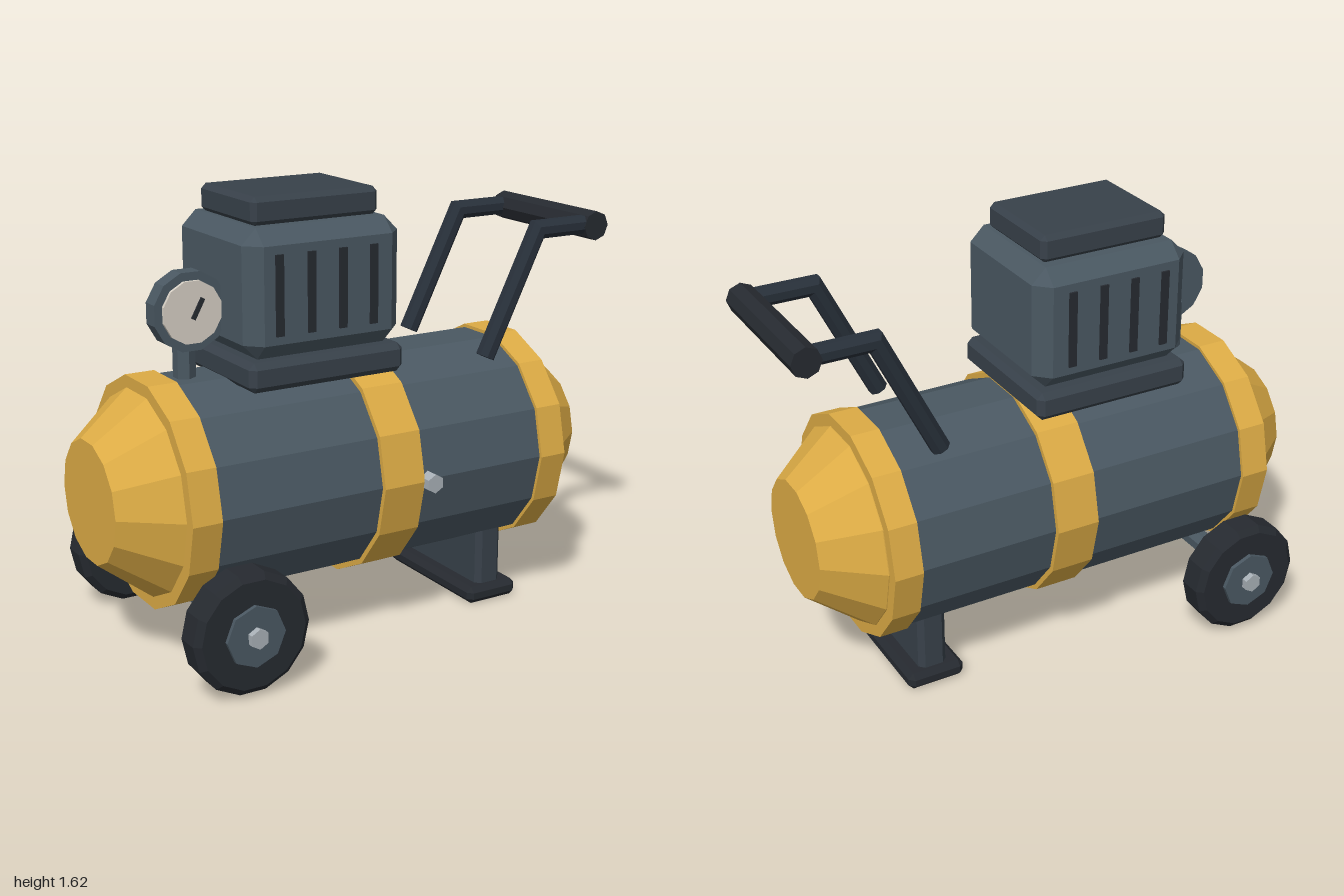
import * as THREE from 'three';
import { ConvexGeometry } from 'three/addons/geometries/ConvexGeometry.js';

const mat = (color) => new THREE.MeshStandardMaterial({ color, flatShading: true });

export function createModel() {
  const root = new THREE.Group();
  const slate = mat(0x4a5862), darkSlate = mat(0x38414a), black = mat(0x262a30);
  const handleMat = mat(0x28303a), gold = mat(0xdcab45), steel = mat(0xa8b0b6), cream = mat(0xd6cfc4);

  function add(name, geometry, material, x = 0, y = 0, z = 0, parent = root) {
    const mesh = new THREE.Mesh(geometry, material);
    mesh.name = name;
    mesh.position.set(x, y, z);
    parent.add(mesh);
    return mesh;
  }

  // Box with every edge chamfered by c
  function chamferBox(w, h, d, c) {
    const pts = [];
    for (const sx of [-1, 1]) for (const sy of [-1, 1]) for (const sz of [-1, 1]) {
      for (let k = 0; k < 3; k++) {
        const inset = [c, c, c];
        inset[k] = 0;
        pts.push(new THREE.Vector3(sx * (w / 2 - inset[0]), sy * (h / 2 - inset[1]), sz * (d / 2 - inset[2])));
      }
    }
    return new ConvexGeometry(pts);
  }

  // Turned solid: pairs of [radius, position along the axis]
  const lathe = (pairs, sides) =>
    new THREE.LatheGeometry(pairs.map(([r, t]) => new THREE.Vector2(r, t)), sides);
  // Cylinder lying along z
  const discZ = (r, depth, sides, turn = 0) =>
    new THREE.CylinderGeometry(r, r, depth, sides).rotateY(turn).rotateX(Math.PI / 2);

  // Tank with domed ends and bands, axis along x
  const tank = new THREE.Group();
  tank.name = 'tank';
  tank.position.y = 0.595;
  root.add(tank);
  const alongX = (pairs) => lathe(pairs, 14).rotateZ(-Math.PI / 2);
  add('tankBody', alongX([[0, -0.76], [0.402, -0.76], [0.402, 0.68], [0, 0.68]]), slate, 0, 0, 0, tank);
  add('leftEndCap', alongX([[0, 0.68], [0.37, 0.68], [0.37, 0.735], [0.222, 0.925], [0, 0.925]]), gold, 0, 0, 0, tank);
  add('rightEndCap', alongX([[0, -1], [0.222, -1], [0.37, -0.81], [0.37, -0.75], [0, -0.75]]), gold, 0, 0, 0, tank);
  for (const [name, a, b, r] of [
    ['rightBand', -0.81, -0.7, 0.415], ['middleBand', -0.065, 0.1, 0.421], ['leftBand', 0.625, 0.732, 0.415],
  ]) add(name, alongX([[0, a], [r, a], [r, b], [0, b]]), gold, 0, 0, 0, tank);
  add('drainValve', discZ(0.035, 0.07, 6), steel, 0.128, 0.59, 0.412);

  // Motor housing
  add('motorBase', chamferBox(0.615, 0.105, 0.565, 0.022), darkSlate, -0.207, 1.022, 0);
  add('motorHousing', chamferBox(0.615, 0.45, 0.555, 0.055), slate, -0.207, 1.3, 0);
  add('motorLid', chamferBox(0.5, 0.1, 0.394, 0.018), darkSlate, -0.207, 1.572, 0);
  for (const side of [-1, 1]) for (let i = 0; i < 4; i++) {
    add('coolingSlot', new THREE.BoxGeometry(0.03, 0.28, 0.02), black, -0.402 + i * 0.124, 1.3, side * 0.275);
  }

  // Pressure gauge
  const gauge = new THREE.Group();
  gauge.name = 'pressureGauge';
  gauge.position.set(-0.627, 1.23, 0);
  root.add(gauge);
  add('gaugeStem', new THREE.CylinderGeometry(0.04, 0.04, 0.25, 6), slate, 0, -0.19, 0, gauge);
  add('gaugeCase', discZ(0.142, 0.066, 12, Math.PI / 12), slate, 0, 0, 0.033, gauge);
  add('gaugeFace', discZ(0.112, 0.03, 12, Math.PI / 12), cream, 0, 0, 0.064, gauge);
  add('gaugeNeedle', new THREE.BoxGeometry(0.016, 0.08, 0.01), black, 0.018, 0.012, 0.081, gauge)
    .rotation.z = -0.5;

  // Axle and wheels
  add('axle', discZ(0.042, 0.9, 8, Math.PI / 8), slate, -0.655, 0.228, 0);
  for (const side of [-1, 1]) {
    const wheel = new THREE.Group();
    wheel.name = side > 0 ? 'frontWheel' : 'backWheel';
    wheel.position.set(-0.655, 0.228, side * 0.478);
    root.add(wheel);
    const tyre = lathe([[0, -0.062], [0.195, -0.062], [0.219, -0.042], [0.219, 0.042], [0.195, 0.062], [0, 0.062]], 14);
    add('tyre', tyre.rotateY(Math.PI / 14).rotateX(Math.PI / 2), black, 0, 0, 0, wheel);
    add('hub', discZ(0.11, 0.154, 8), slate, 0, 0, 0, wheel);
    add('wheelNut', discZ(0.036, 0.04, 6), steel, 0, 0, side * 0.08, wheel);
  }

  // Support leg and foot
  add('supportLeg', chamferBox(0.11, 0.3, 0.5, 0.02), darkSlate, 0.52, 0.19, 0);
  add('foot', chamferBox(0.22, 0.066, 0.56, 0.02), black, 0.52, 0.033, 0);

  // Handle: mitred bars bent at the elbow, joined by a grip
  const path = [[0.472, 0.965], [0.695, 1.417], [0.945, 1.417]].map(([x, y]) => new THREE.Vector2(x, y));
  const d0 = path[1].clone().sub(path[0]).normalize();
  const d1 = path[2].clone().sub(path[1]).normalize();
  const across = [d0, d0.clone().add(d1).normalize(), d1].map((d) => new THREE.Vector2(d.y, -d.x));
  across[1].divideScalar(across[1].dot(across[0]));
  function handleBar() {
    const g = new THREE.CylinderGeometry(0.036, 0.036, 2, 8, 2).rotateY(Math.PI / 8);
    const p = g.attributes.position;
    for (let i = 0; i < p.count; i++) {
      const ring = Math.round(p.getY(i) + 1), t = p.getX(i);
      p.setXY(i, path[ring].x + across[ring].x * t, path[ring].y + across[ring].y * t);
    }
    g.computeVertexNormals();
    return g;
  }
  for (const side of [-1, 1]) add('handleBar', handleBar(), handleMat, 0, 0, side * 0.253);
  add('handleGrip', discZ(0.055, 0.575, 8), black, 0.945, 1.412, 0);

  return root;
}
